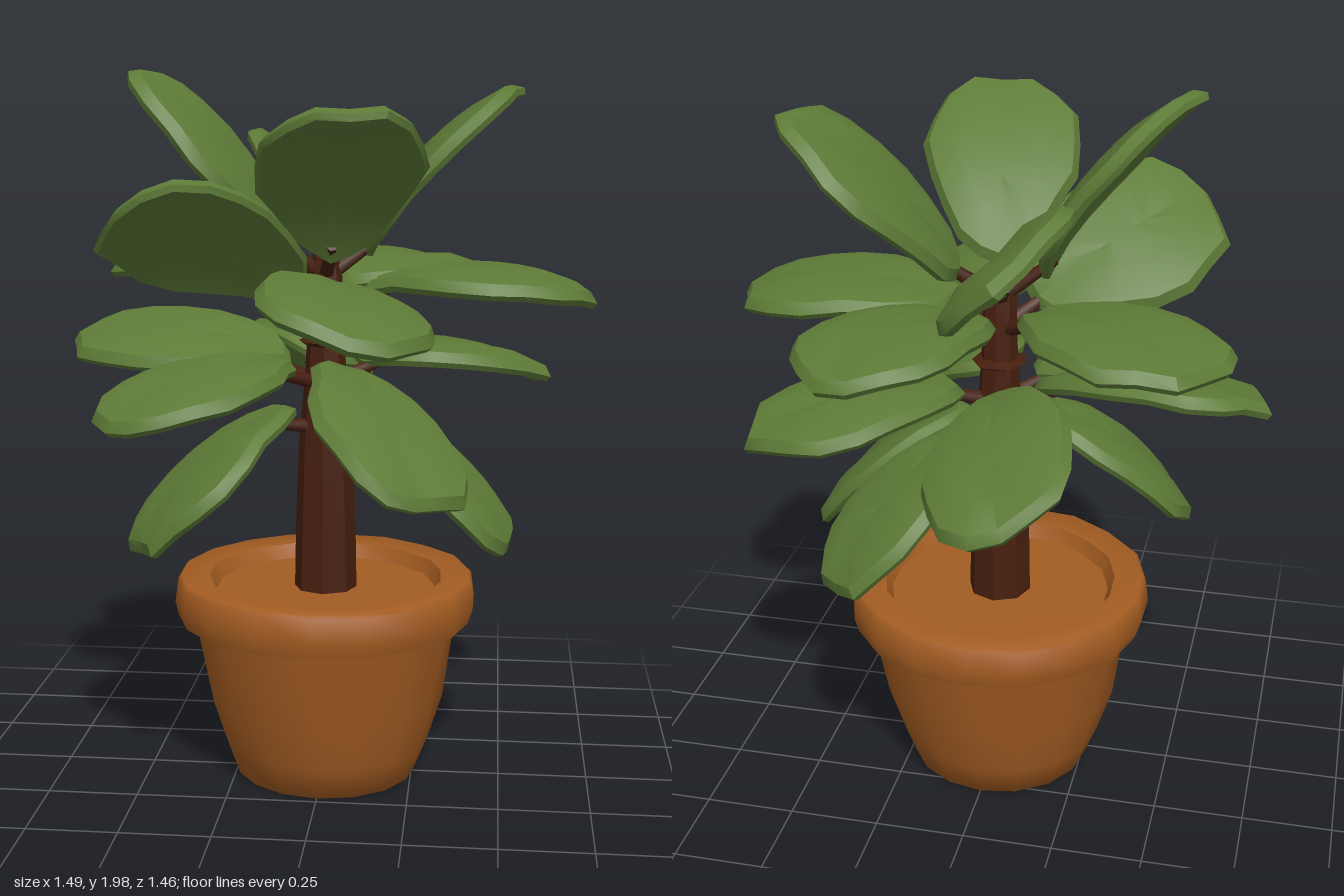
import * as THREE from 'three';
import { toCreasedNormals } from 'three/addons/utils/BufferGeometryUtils.js';

// Seeded random numbers in 0..1
function makeRandom(seed) {
  let s = seed;
  return () => {
    s = (s * 16807) % 2147483647;
    return s / 2147483647;
  };
}

// Thick, ragged leaf in local space: base at z = 0, tip at z = length, upper face +y
function leafGeometry(length, width, rand) {
  const n = 18;
  const rings = [[0, 0.02], [0.5, 0.026], [0.92, 0.018], [1, -0.006], [0.95, -0.024], [0.5, -0.015], [0, -0.016]];
  const wobble = Array.from({ length: n }, () => 0.93 + 0.13 * rand());
  const pos = [], index = [];
  rings.forEach(([s, y]) => {
    for (let j = 0; j < n; j++) {
      const a = (j / n) * Math.PI * 2;
      const x = Math.sin(a) * (1 + 0.22 * Math.cos(a)) * wobble[j] * s;
      const z = 0.5 + 0.5 * Math.cos(a) * wobble[j] * (0.3 + 0.7 * s);
      // Shallow fold along the midrib and a bowed length
      const bend = 0.035 * Math.abs(x) + 0.05 * (1 - (2 * z - 1) ** 2) - 0.05 * x * x;
      pos.push(x * width / 2, y + bend, z * length);
    }
  });
  for (let r = 0; r < rings.length - 1; r++) {
    for (let j = 0; j < n; j++) {
      const k = (j + 1) % n;
      const a = r * n + j, b = r * n + k, c = a + n, d = b + n;
      index.push(a, c, d, a, d, b);
    }
  }
  const g = new THREE.BufferGeometry();
  g.setAttribute('position', new THREE.Float32BufferAttribute(pos, 3));
  g.setIndex(index);
  return toCreasedNormals(g, 0.7);
}

// Faceted turned shape with slightly uneven sides
function unevenLathe(profile, sides, amount, crease) {
  const g = new THREE.LatheGeometry(profile.map(([x, y]) => new THREE.Vector2(x, y)), sides);
  const p = g.attributes.position;
  for (let i = 0; i < p.count; i++) {
    const a = Math.atan2(p.getZ(i), p.getX(i));
    const k = 1 + amount * Math.sin(5 * a + 9 * p.getY(i)) * Math.cos(3 * a);
    p.setX(i, p.getX(i) * k);
    p.setZ(i, p.getZ(i) * k);
  }
  return toCreasedNormals(g, crease);
}

// Leaf tiers from the top down; each leaf is tip x, y, z and a sideways twist
const crown = [[0.12, 1.88, 0.56, 0], [-0.5, 1.97, 0.08, 0.28], [0.52, 1.93, -0.22, 0.2], [-0.2, 1.73, -0.67, -0.72]];
const upper = [[-0.5, 1.62, 0.4, -0.58], [0.13, 1.33, 0.73, 0.26], [0.73, 1.37, 0.02, 0], [-0.61, 1.4, -0.46, 0.04], [0.32, 1.38, -0.65, -0.05]];
const middle = [[-0.74, 1.22, -0.17, 0.24], [0.59, 1.1, -0.41, 0], [-0.52, 1.07, 0.43, 0.05], [-0.16, 1.07, -0.73, -0.41], [0.29, 0.91, 0.62, 0.32]];
const lower = [[0.52, 0.68, 0.1, 0.1], [-0.47, 0.7, 0.29, -0.15], [0.33, 0.74, -0.52, -0.3]];
const tiers = [
  { baseY: 1.48, width: 0.43, tips: crown },
  { baseY: 1.39, width: 0.46, tips: upper },
  { baseY: 1.18, width: 0.41, tips: middle },
  { baseY: 1.06, width: 0.42, tips: lower },
];

export function createModel() {
  const group = new THREE.Group();
  const material = (name, color) => {
    const m = new THREE.MeshStandardMaterial({ color });
    m.name = name;
    return m;
  };
  const clay = material('terracotta', 0xa35c22);
  const bark = material('bark', 0x461f0e);
  const green = material('leafGreen', 0x5e7b37);
  const add = (name, geometry, mat, parent = group) => {
    const mesh = new THREE.Mesh(geometry, mat);
    mesh.name = name;
    parent.add(mesh);
    return mesh;
  };

  // Pot and trunk share an axis slightly behind the middle of the foliage
  const axis = new THREE.Vector3(0, 0, -0.03);
  const addTurned = (...args) => add(...args).position.copy(axis);

  // Pot: tapered body, heavy rim and filled top
  addTurned('potBody', unevenLathe([[0, 0], [0.258, 0], [0.29, 0.09], [0.33, 0.22], [0.378, 0.47]], 16, 0.02, 1.4), clay);
  addTurned('potRim', unevenLathe([[0.36, 0.465], [0.42, 0.46], [0.432, 0.5], [0.425, 0.57], [0.415, 0.58], [0.335, 0.575], [0.315, 0.535], [0, 0.54]], 18, 0.02, 0.9), clay);

  // Trunk, tapering to the crown
  addTurned('trunk', unevenLathe([[0.092, 0.53], [0.085, 0.7], [0.074, 0.95], [0.062, 1.12], [0.05, 1.3], [0.046, 1.42], [0.03, 1.5], [0, 1.51]], 8, 0.04, 0.5), bark);
  addTurned('trunkKnot', unevenLathe([[0.045, 1.225], [0.08, 1.243], [0.045, 1.255]], 7, 0.1, 0.5), bark);

  const rand = makeRandom(4217);
  const up = new THREE.Vector3(0, 1, 0);
  const addBranch = (baseY, width, [x, y, z, twist]) => {
    const branch = new THREE.Group();
    branch.name = 'branch';
    group.add(branch);

    // The leaf starts a little way out from the trunk, towards its tip
    const tip = new THREE.Vector3(x, y, z);
    const base = tip.clone().sub(axis).setY(0).setLength(0.11).add(axis).setY(baseY);
    const along = tip.sub(base);
    const length = along.length();
    along.normalize();
    const side = up.clone().cross(along).normalize().applyAxisAngle(along, -twist);
    const normal = along.clone().cross(side);
    const leaf = add('leaf', leafGeometry(length, width, rand), green, branch);
    leaf.quaternion.setFromRotationMatrix(new THREE.Matrix4().makeBasis(side, normal, along));
    leaf.position.copy(base);

    // Stalk from the trunk into the leaf base
    const from = axis.clone().setY(baseY - 0.06);
    const span = base.clone().addScaledVector(along, 0.06).sub(from);
    const stalk = add('stalk', new THREE.CylinderGeometry(0.015, 0.024, span.length(), 6), bark, branch);
    stalk.position.copy(from).addScaledVector(span, 0.5);
    stalk.quaternion.setFromUnitVectors(up, span.normalize());
  };
  tiers.forEach(({ baseY, width, tips }) => tips.forEach((tip) => addBranch(baseY, width, tip)));
  return group;
}
